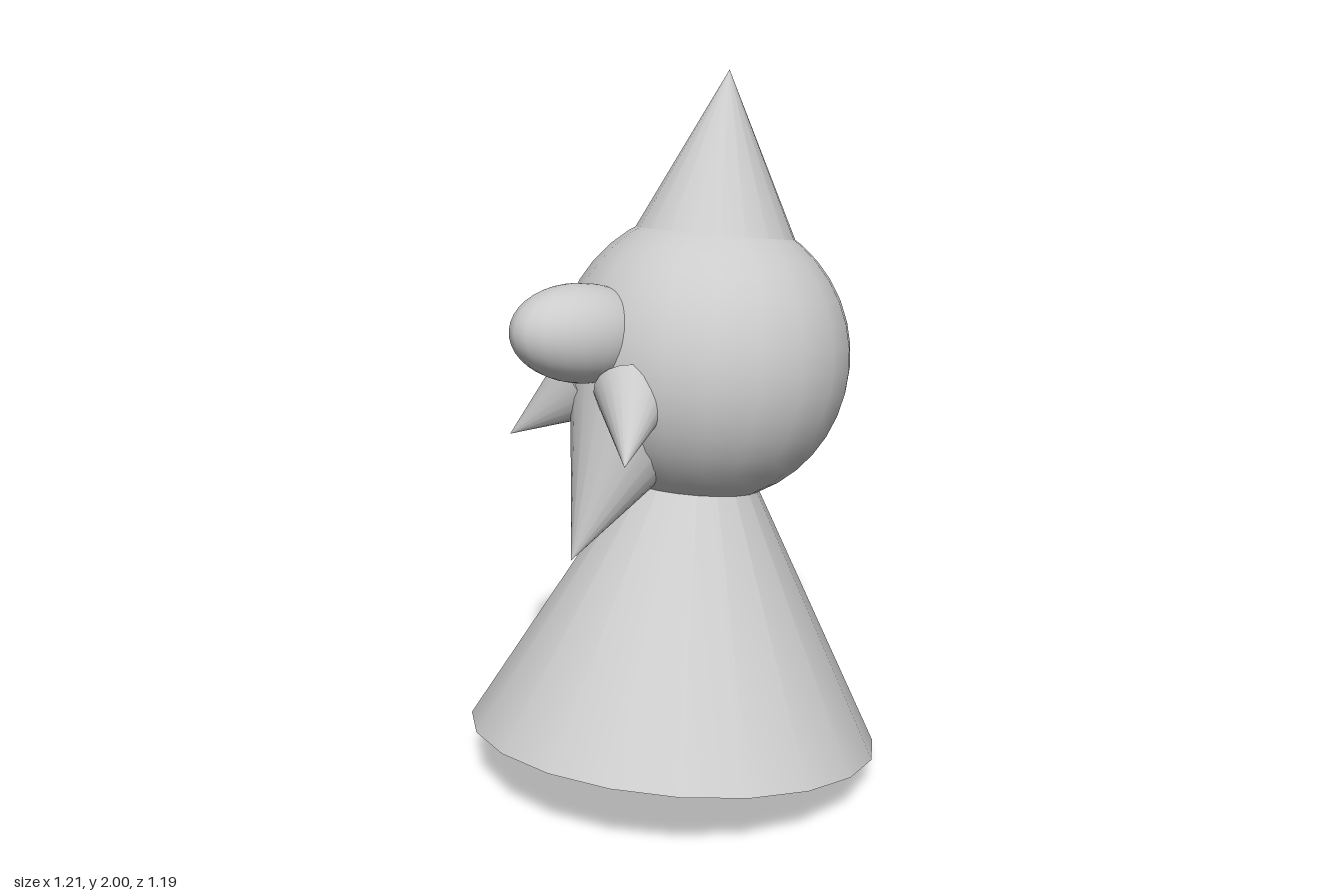
import * as THREE from 'three';

const SIDES = 20;
const material = new THREE.MeshStandardMaterial({ color: 0xcccccc });

function addMesh(parent, name, geometry) {
  const mesh = new THREE.Mesh(geometry, material);
  mesh.name = name;
  parent.add(mesh);
  return mesh;
}

// Cone with its tip at a given point, widening along the given direction
function addCone(parent, name, tip, direction, radius, height) {
  const geometry = new THREE.ConeGeometry(radius, height, SIDES);
  geometry.translate(0, -height / 2, 0);
  const mesh = addMesh(parent, name, geometry);
  const toTip = new THREE.Vector3(...direction).normalize().negate();
  mesh.quaternion.setFromUnitVectors(new THREE.Vector3(0, 1, 0), toTip);
  mesh.position.set(...tip);
  return mesh;
}

export function createModel() {
  const model = new THREE.Group();
  model.name = 'leaningFigure';

  // The whole figure leans about the centre of its base
  const figure = new THREE.Group();
  figure.name = 'figure';
  figure.position.set(-0.02, 0.13, 0);
  figure.rotation.set(THREE.MathUtils.degToRad(-6.1), 0, THREE.MathUtils.degToRad(-10.8));
  model.add(figure);

  // Robe, with its tip hidden inside the head
  const robe = new THREE.ConeGeometry(0.597, 1.07, SIDES);
  robe.translate(0, 0.535, 0);
  addMesh(figure, 'robe', robe);

  // Head group; the face looks along its -x
  const head = new THREE.Group();
  head.name = 'head';
  head.position.y = 1.106;
  figure.add(head);
  addMesh(head, 'skull', new THREE.SphereGeometry(0.42, SIDES, SIDES));

  // Pointed hat
  const hat = new THREE.ConeGeometry(0.3, 0.6, SIDES);
  hat.translate(0, 0.508, 0);
  addMesh(head, 'hat', hat);

  // Egg-shaped nose
  const nose = addMesh(head, 'nose', new THREE.SphereGeometry(1, SIDES, SIDES));
  nose.scale.set(0.22, 0.136, 0.136);
  nose.position.set(-0.433, 0.058, 0);

  // Moustache: a mirrored pair of short cones
  for (const side of [1, -1]) {
    addCone(head, side > 0 ? 'moustacheLeft' : 'moustacheRight',
      [-0.464, -0.262, 0.278 * side], [0.49, 0.635, -0.597 * side], 0.11, 0.27);
  }

  // Pointed beard
  addCone(head, 'beard', [-0.415, -0.574, 0], [0.41, 0.91, 0], 0.21, 0.47);

  return model;
}
